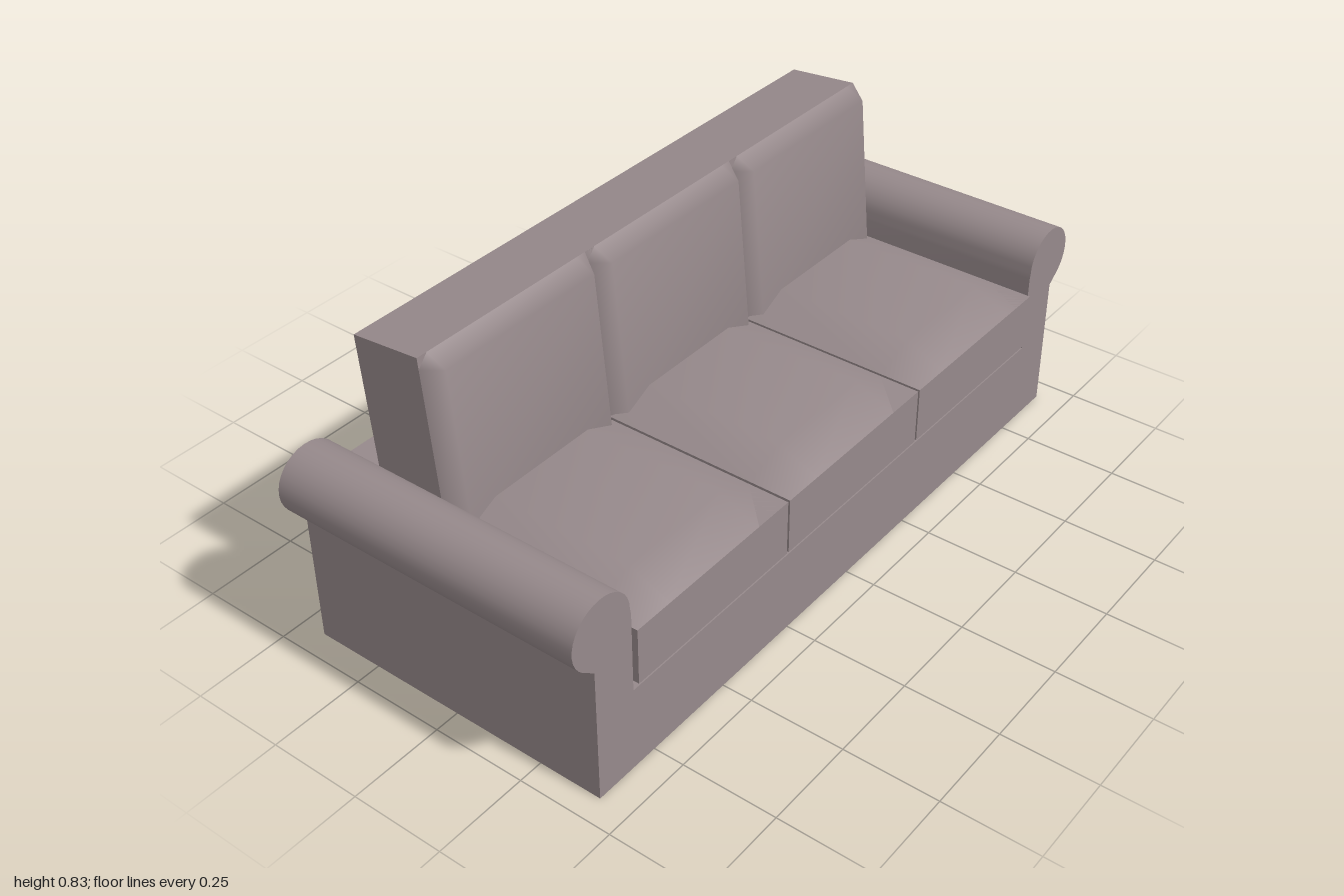
import * as THREE from 'three';
import { toCreasedNormals } from 'three/addons/utils/BufferGeometryUtils.js';

export function createModel() {
  const sofa = new THREE.Group();
  sofa.name = 'sofa';
  const fabric = new THREE.MeshStandardMaterial({ color: 0x96898b });
  fabric.name = 'mauve grey fabric';

  const add = (parent, name, geometry) => {
    const mesh = new THREE.Mesh(geometry, fabric);
    mesh.name = name;
    parent.add(mesh);
    return mesh;
  };

  // box given by its lower and upper limits on each axis
  const box = (x0, x1, y0, y1, z0, z1) =>
    new THREE.BoxGeometry(x1 - x0, y1 - y0, z1 - z0)
      .translate((x0 + x1) / 2, (y0 + y1) / 2, (z0 + z1) / 2);

  // padded face: flat middle raised above a rim, with soft normals
  const padding = (width, height, insetX, insetY, rise) => {
    const geometry = new THREE.PlaneGeometry(width, height, 3, 3);
    const p = geometry.attributes.position;
    const across = [0, insetX, width - insetX, width];
    const down = [0, insetY, height - insetY, height];
    for (let row = 0; row < 4; row++) {
      for (let col = 0; col < 4; col++) {
        const inner = row % 3 !== 0 && col % 3 !== 0;
        p.setXYZ(row * 4 + col, across[col] - width / 2, height / 2 - down[row], inner ? rise : 0);
      }
    }
    geometry.computeVertexNormals();
    return geometry;
  };

  // base and low rear wall
  add(sofa, 'base', box(-0.815, 0.815, 0, 0.225, -0.43, 0.42));
  add(sofa, 'rearWall', box(-0.815, 0.815, 0.225, 0.45, -0.43, -0.25));

  // rolled arms: one profile, mirrored in x
  for (const side of [1, -1]) {
    const profile = new THREE.Shape();
    profile.moveTo(side * 0.815, 0);
    profile.lineTo(side * 0.935, 0);
    profile.lineTo(side * 0.935, 0.365);
    for (let i = 0; i <= 20; i++) {
      const angle = THREE.MathUtils.lerp(-0.85, Math.PI, i / 20);
      profile.lineTo(side * (0.909 + 0.091 * Math.cos(angle)), 0.457 + 0.088 * Math.sin(angle));
    }
    profile.lineTo(side * 0.815, 0.44);
    const geometry = new THREE.ExtrudeGeometry(profile, { depth: 0.85, bevelEnabled: false });
    geometry.translate(0, 0, -0.43);
    add(sofa, side > 0 ? 'leftArm' : 'rightArm', toCreasedNormals(geometry, 0.75));
  }

  // leaning backrest, pivoting on its top front edge
  const backrest = new THREE.Group();
  backrest.name = 'backrest';
  backrest.position.set(0, 0.835, -0.15);
  backrest.rotation.x = -0.09;
  sofa.add(backrest);
  add(backrest, 'backrestBody', box(-0.81, 0.81, -0.55, 0, -0.19, 0));

  // three seat cushions and three back pads
  for (const x of [-0.541, 0, 0.541]) {
    const seat = new THREE.Group();
    seat.name = 'seatCushion';
    seat.position.x = x;
    sofa.add(seat);
    add(seat, 'seatBody', box(-0.267, 0.267, 0.245, 0.395, -0.2, 0.43));
    add(seat, 'seatPadding', padding(0.534, 0.63, 0.11, 0.11, 0.045)
      .rotateX(-Math.PI / 2).translate(0, 0.395, 0.115));

    add(backrest, 'backPadding', padding(0.538, 0.5, 0.03, 0.03, 0.05)
      .translate(x, -0.25, 0));
  }

  return sofa;
}
